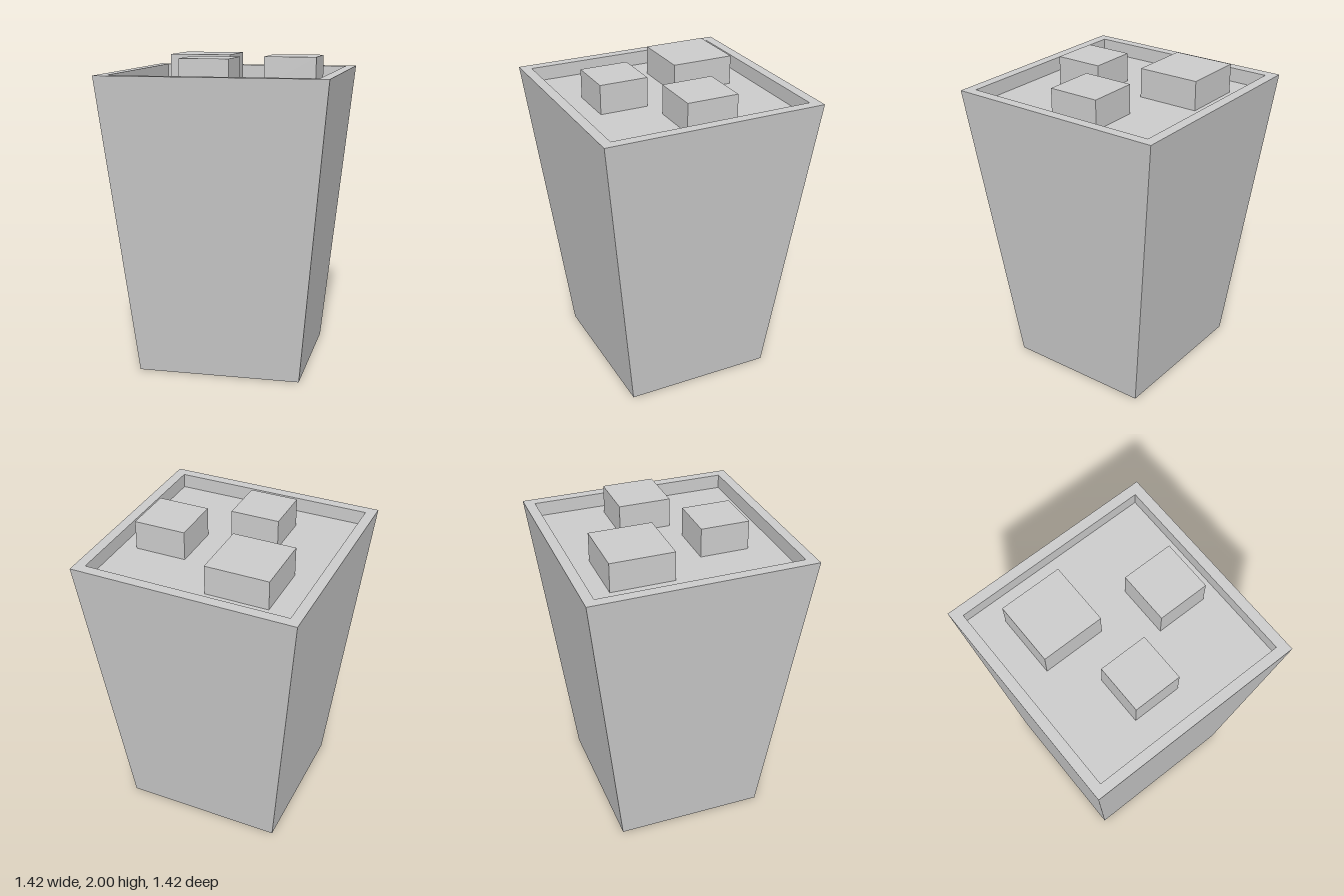
import * as THREE from 'three';

const material = new THREE.MeshStandardMaterial({ color: 0xcccccc, flatShading: true });

const RIM_Y = 1.905, DRINK_Y = 1.814, TOP_Y = 2;
const INNER = 0.643;

function addMesh(parent, name, geometry) {
  const mesh = new THREE.Mesh(geometry, material);
  mesh.name = name;
  parent.add(mesh);
  return mesh;
}

// Joins rectangular rings [halfWidth, y, halfDepth] in order; the first ring is closed as the base
function rectangleLoft(rings) {
  const corners = [[-1, 1], [1, 1], [1, -1], [-1, -1]];
  const point = ([w, y, d], i) => [corners[i % 4][0] * w, y, corners[i % 4][1] * d];
  const positions = [];
  const quad = (a, b, c, d) => positions.push(...a, ...b, ...c, ...a, ...c, ...d);

  quad(...[3, 2, 1, 0].map((i) => point(rings[0], i)));
  for (let r = 0; r < rings.length - 1; r++) {
    for (let i = 0; i < 4; i++) {
      quad(point(rings[r], i), point(rings[r], i + 1), point(rings[r + 1], i + 1), point(rings[r + 1], i));
    }
  }
  const geometry = new THREE.BufferGeometry();
  geometry.setAttribute('position', new THREE.Float32BufferAttribute(positions, 3));
  geometry.computeVertexNormals();
  return geometry;
}

export function createModel() {
  const model = new THREE.Group();
  model.name = 'drinkingGlass';

  // Tapered square tumbler: base, outer rim, inner rim, inside wall
  addMesh(model, 'tumbler', rectangleLoft([
    [0.519, 0, 0.481],
    [0.708, RIM_Y, 0.708],
    [INNER, RIM_Y, INNER],
    [INNER, DRINK_Y, INNER],
  ]));

  // Flat surface of the drink
  const drink = addMesh(model, 'drinkSurface', new THREE.PlaneGeometry(INNER * 2, INNER * 2));
  drink.rotation.x = -Math.PI / 2;
  drink.position.y = DRINK_Y;

  // Floating ice cubes: centre x, centre z, width
  const cubes = [
    [-0.256, -0.295, 0.402],
    [0.38, -0.044, 0.331],
    [-0.09, 0.304, 0.311],
  ];
  const height = TOP_Y - DRINK_Y;
  cubes.forEach(([x, z, size], i) => {
    const cube = addMesh(model, `iceCube${i + 1}`, new THREE.BoxGeometry(size, height, size));
    cube.position.set(x, DRINK_Y + height / 2, z);
  });

  return model;
}
